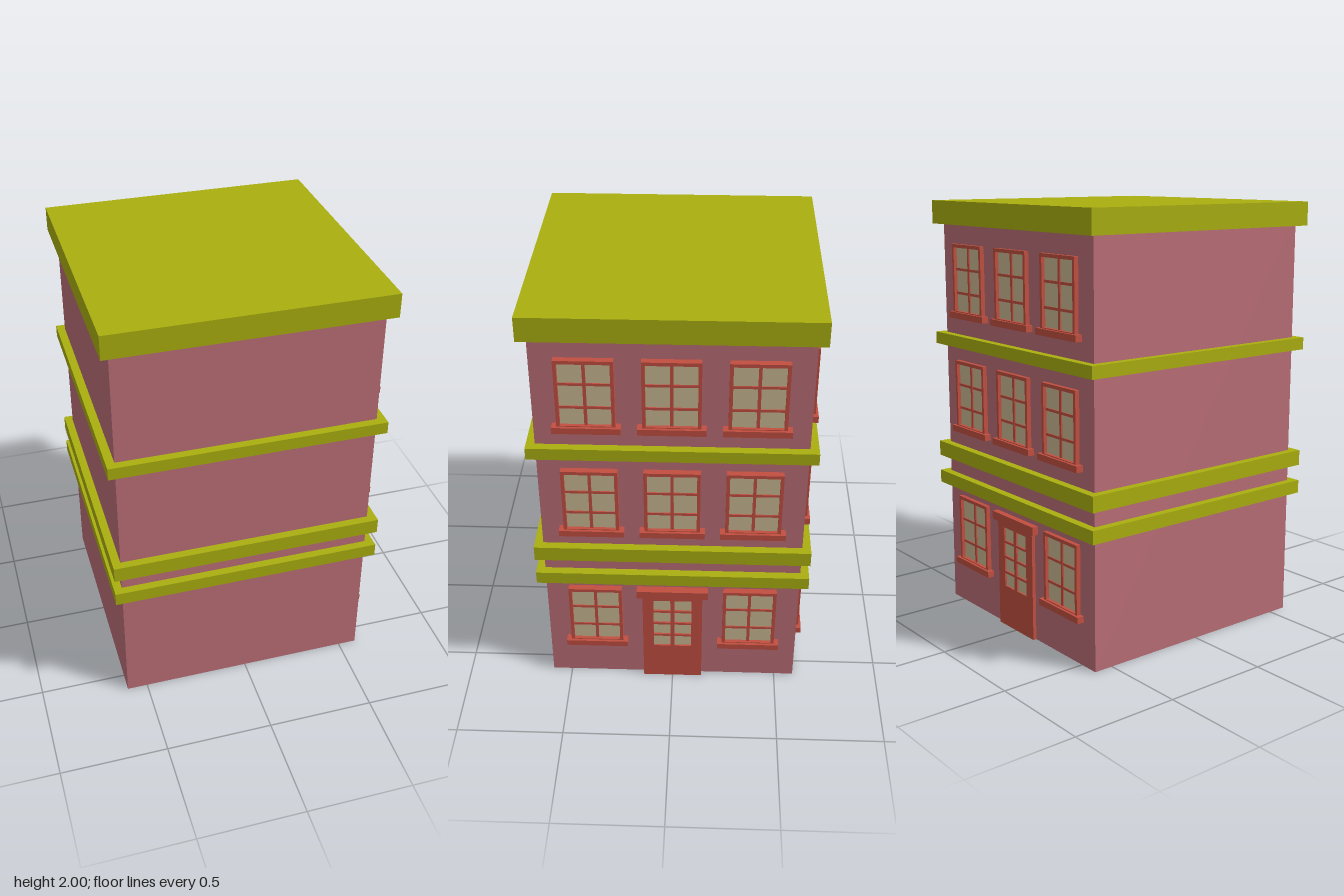
import * as THREE from 'three';

const mat = (name, color) => {
  const m = new THREE.MeshStandardMaterial({ color });
  m.name = name;
  return m;
};

export function createModel() {
  const wallPink = mat('wallPink', 0xba6e76);
  const trimOlive = mat('trimOlive', 0xa9ae0f);
  const joineryRed = mat('joineryRed', 0xc24f40);
  const paneCream = mat('paneCream', 0xcab892);

  // Box given by its minimum and maximum corners
  const box = (parent, name, material, [x0, y0, z0], [x1, y1, z1]) => {
    const mesh = new THREE.Mesh(new THREE.BoxGeometry(x1 - x0, y1 - y0, z1 - z0), material);
    mesh.position.set((x0 + x1) / 2, (y0 + y1) / 2, (z0 + z1) / 2);
    mesh.name = name;
    parent.add(mesh);
  };

  // Upright slab with rectangular holes [x0, y0, x1, y1]
  const rect = (Type, [x0, y0, x1, y1]) => new Type([
    new THREE.Vector2(x0, y0), new THREE.Vector2(x1, y0),
    new THREE.Vector2(x1, y1), new THREE.Vector2(x0, y1),
  ]);
  const slab = (parent, name, outline, holes, depth) => {
    const shape = rect(THREE.Shape, outline);
    holes.forEach((h) => shape.holes.push(rect(THREE.Path, h)));
    const geometry = new THREE.ExtrudeGeometry(shape, { depth, bevelEnabled: false });
    const mesh = new THREE.Mesh(geometry, joineryRed);
    mesh.name = name;
    parent.add(mesh);
  };

  // Window: deep frame, recessed pane, glazing bars and a wide sill
  const addWindow = (parent, x, y) => {
    const g = new THREE.Group();
    g.name = 'window';
    g.position.set(x, y, 0);
    slab(g, 'windowFrame', [-0.125, 0, 0.125, 0.322], [[-0.11, 0.004, 0.11, 0.306]], 0.031);
    box(g, 'windowPane', paneCream, [-0.111, 0.003, 0.008], [0.111, 0.307, 0.014]);
    box(g, 'verticalBar', joineryRed, [-0.007, 0.003, 0.01], [0.007, 0.307, 0.02]);
    for (const by of [0.09, 0.203]) {
      box(g, 'horizontalBar', joineryRed, [-0.111, by - 0.006, 0.01], [0.111, by + 0.006, 0.019]);
    }
    box(g, 'windowSill', joineryRed, [-0.147, -0.03, 0], [0.147, 0, 0.043]);
    parent.add(g);
  };

  // Door: leaf with two by four openings, a pane behind them and a lintel
  const addDoor = (parent) => {
    const g = new THREE.Group();
    g.name = 'door';
    const holes = [];
    for (const x of [-0.09, 0.01]) {
      for (let row = 0; row < 4; row++) {
        const y = 0.2 + row * 0.0755;
        holes.push([x, y, x + 0.08, y + 0.0645]);
      }
    }
    slab(g, 'doorLeaf', [-0.141, 0, 0.141, 0.517], holes, 0.027);
    box(g, 'doorPane', paneCream, [-0.095, 0.195, 0.012], [0.095, 0.497, 0.018]);
    box(g, 'doorLintel', joineryRed, [-0.167, 0.517, 0], [0.167, 0.557, 0.04]);
    parent.add(g);
  };

  // One dressed facade, three storeys
  const addFacade = (parent, name) => {
    const g = new THREE.Group();
    g.name = name;
    for (const y of [0.917, 1.477]) {
      for (const x of [-0.363, 0, 0.363]) addWindow(g, x, y);
    }
    for (const x of [-0.363, 0.363]) addWindow(g, x, 0.234);
    addDoor(g);
    parent.add(g);
    return g;
  };

  const model = new THREE.Group();
  model.name = 'townBuilding';

  // Plain block
  box(model, 'walls', wallPink, [-0.596, 0, -0.592], [0.587, 1.95, 0.592]);

  // Projecting bands and roof slab: bottom, top
  const bands = [[0.6, 0.662], [0.74, 0.813], [1.308, 1.365], [1.89, 2]];
  bands.forEach(([y0, y1], i) => {
    box(model, i === 3 ? 'roofSlab' : 'corniceBand', trimOlive, [-0.634, y0, -0.631], [0.627, y1, 0.631]);
  });

  // Facades on the +x side and the back
  const side = addFacade(model, 'sideFacade');
  side.rotation.y = Math.PI / 2;
  side.position.x = 0.587;
  const back = addFacade(model, 'backFacade');
  back.rotation.y = Math.PI;
  back.position.set(-0.004, 0, -0.582);

  return model;
}
